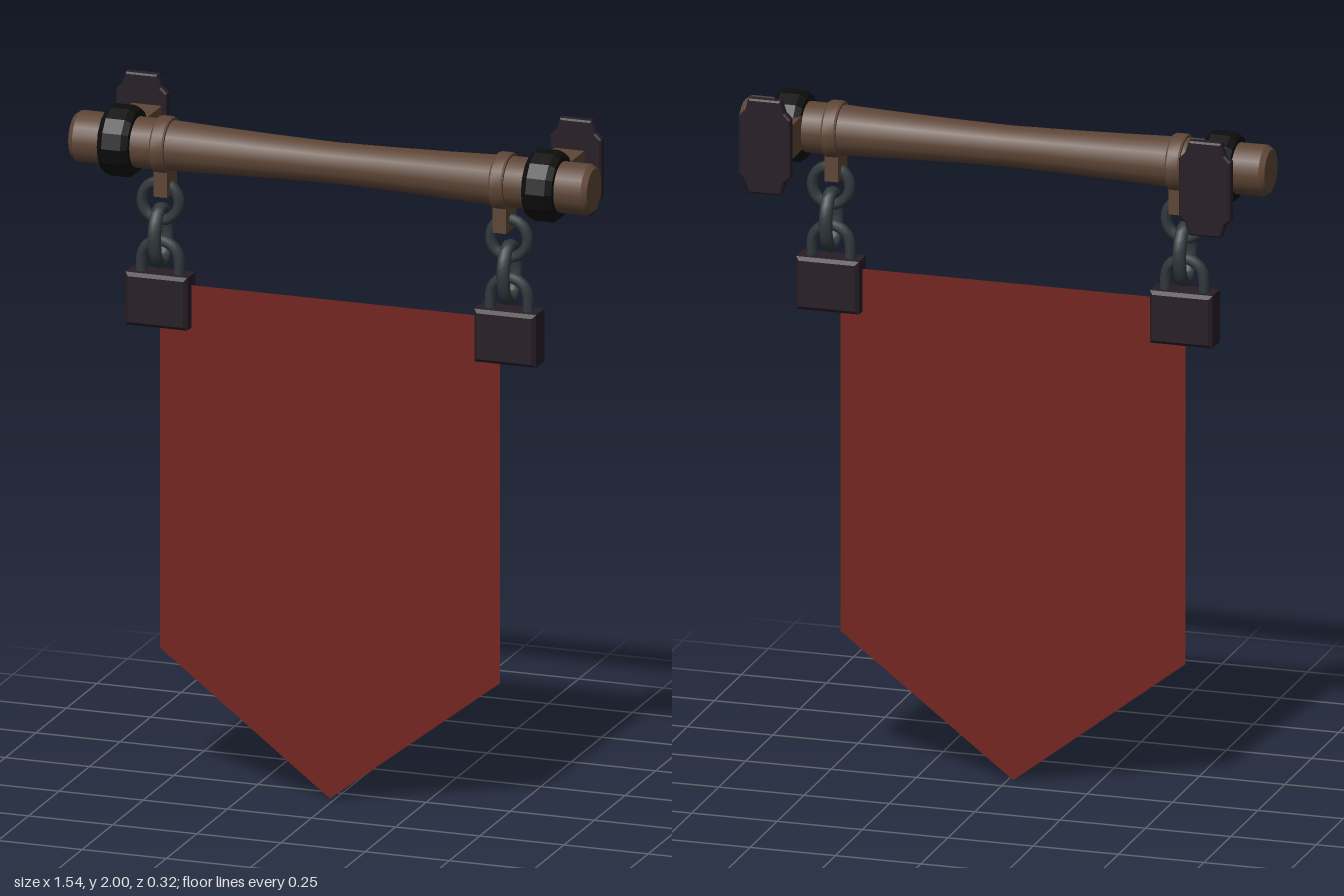
import * as THREE from 'three';
import { toCreasedNormals } from 'three/addons/utils/BufferGeometryUtils.js';

const AXIS_Y = 1.862, AXIS_Z = 0.058;
const mat = (color, extra = {}) => new THREE.MeshStandardMaterial({ color, ...extra });

export function createModel() {
  const root = new THREE.Group();
  const wood = mat(0x5e4636);
  const darkMetal = mat(0x271d26, { flatShading: true });
  const blackMetal = mat(0x0d0d0d, { flatShading: true });
  const chainMetal = mat(0x30383c);
  const cloth = mat(0x72231e, { side: THREE.DoubleSide });

  const add = (parent, name, geometry, material, x = 0, y = 0, z = 0) => {
    const mesh = new THREE.Mesh(geometry, material);
    mesh.name = name;
    mesh.position.set(x, y, z);
    parent.add(mesh);
    return mesh;
  };

  // Turned part lying along x; profile is [radius, x] pairs
  const turned = (profile, sides) => {
    const g = new THREE.LatheGeometry(profile.map(p => new THREE.Vector2(...p)), sides);
    return toCreasedNormals(g.rotateZ(-Math.PI / 2), 0.5);
  };

  // Symmetric outline extruded with a small bevel, centred in depth
  const slab = (shape, depth, bevel) => {
    const g = new THREE.ExtrudeGeometry(shape, {
      depth: depth - 2 * bevel, bevelEnabled: bevel > 0,
      bevelSize: bevel, bevelThickness: bevel, bevelOffset: -bevel, bevelSegments: 1,
    });
    return g.translate(0, 0, -(depth - 2 * bevel) / 2);
  };

  // Closed oval chain link in the xy plane
  const link = (rx, ry) => {
    const pts = [];
    for (let i = 0; i < 12; i++) {
      const a = i / 12 * Math.PI * 2;
      pts.push(new THREE.Vector3(Math.cos(a) * rx, Math.sin(a) * ry, 0));
    }
    const curve = new THREE.CatmullRomCurve3(pts, true);
    return new THREE.TubeGeometry(curve, 24, 0.016, 8, true).scale(1, 1, 1.25);
  };

  // Pole, slimmer towards the middle
  const half = [[0.058, 0], [0.061, 0.17], [0.066, 0.34], [0.072, 0.5], [0.073, 0.755], [0.062, 0.77], [0, 0.77]];
  const mirrored = half.slice(1).reverse().map(([r, x]) => [r, -x]);
  add(root, 'pole', turned([...mirrored, ...half], 20), wood, 0, AXIS_Y, AXIS_Z);

  // Geometries shared by both ends
  const clampGeo = turned([[0.065, -0.045], [0.09, -0.045], [0.102, -0.028], [0.102, 0.028],
    [0.09, 0.045], [0.065, 0.045]], 14);
  const bandGeo = turned([[0.065, -0.021], [0.079, -0.021], [0.082, -0.016], [0.082, 0.016],
    [0.079, 0.021], [0.065, 0.021]], 20);
  const corner = [[0.076, 0.085], [0.058, 0.103], [0.047, 0.138]];
  const plateOutline = [
    ...corner,
    ...corner.map(([x, y]) => [-x, y]).reverse(),
    ...corner.map(([x, y]) => [-x, -y]),
    ...corner.map(([x, y]) => [x, -y]).reverse(),
  ];
  const plateGeo = slab(new THREE.Shape(plateOutline.map(p => new THREE.Vector2(...p))), 0.03, 0.005);
  const lockShape = new THREE.Shape([[-0.092, -0.077], [0.092, -0.077], [0.092, 0.077], [-0.092, 0.077]]
    .map(p => new THREE.Vector2(...p)));
  const lockGeo = slab(lockShape, 0.086, 0.01);
  const arch = [new THREE.Vector3(-0.056, -0.07, 0)];
  for (let i = 0; i <= 8; i++) {
    const a = Math.PI * (1 - i / 8);
    arch.push(new THREE.Vector3(Math.cos(a) * 0.056, Math.sin(a) * 0.056, 0));
  }
  arch.push(new THREE.Vector3(0.056, -0.07, 0));
  const shackleGeo = new THREE.TubeGeometry(new THREE.CatmullRomCurve3(arch), 24, 0.016, 8)
    .scale(1, 1, 1.25);
  const roundLink = link(0.055, 0.056);
  const longLink = link(0.052, 0.08);

  for (const side of [-1, 1]) {
    // Wall bracket
    const bracket = new THREE.Group();
    bracket.name = side > 0 ? 'leftBracket' : 'rightBracket';
    add(bracket, 'wallPlate', plateGeo, darkMetal, side * 0.645, AXIS_Y, -0.147);
    add(bracket, 'bracketArm', new THREE.BoxGeometry(0.088, 0.1, 0.15), wood, side * 0.628, AXIS_Y, -0.065);
    add(bracket, 'clampRing', clampGeo, blackMetal, side * 0.63, AXIS_Y, AXIS_Z);
    root.add(bracket);

    // Hanger: strap, chain and padlock
    const hanger = new THREE.Group();
    hanger.name = side > 0 ? 'leftHanger' : 'rightHanger';
    const x = side * 0.518;
    add(hanger, 'strapBand', bandGeo, wood, side * 0.504, AXIS_Y, AXIS_Z);
    add(hanger, 'strapTab', new THREE.BoxGeometry(0.04, 0.085, 0.085), wood, side * 0.504, 1.763, AXIS_Z);
    add(hanger, 'upperLink', roundLink, chainMetal, x, 1.697, AXIS_Z);
    add(hanger, 'lowerLink', longLink, chainMetal, x, 1.597, AXIS_Z).rotation.y = Math.PI / 2;
    add(hanger, 'shackle', shackleGeo, chainMetal, x, 1.525, AXIS_Z);
    add(hanger, 'padlockBody', lockGeo, darkMetal, x, 1.413, AXIS_Z);
    root.add(hanger);
  }

  // Pointed cloth banner
  const outline = [[-0.52, 1.46], [-0.52, 0.392], [-0.015, 0.003], [0.49, 0.392], [0.49, 1.46]];
  const bannerShape = new THREE.Shape(outline.map(p => new THREE.Vector2(...p)));
  add(root, 'banner', new THREE.ShapeGeometry(bannerShape), cloth, 0, 0, AXIS_Z);

  return root;
}
